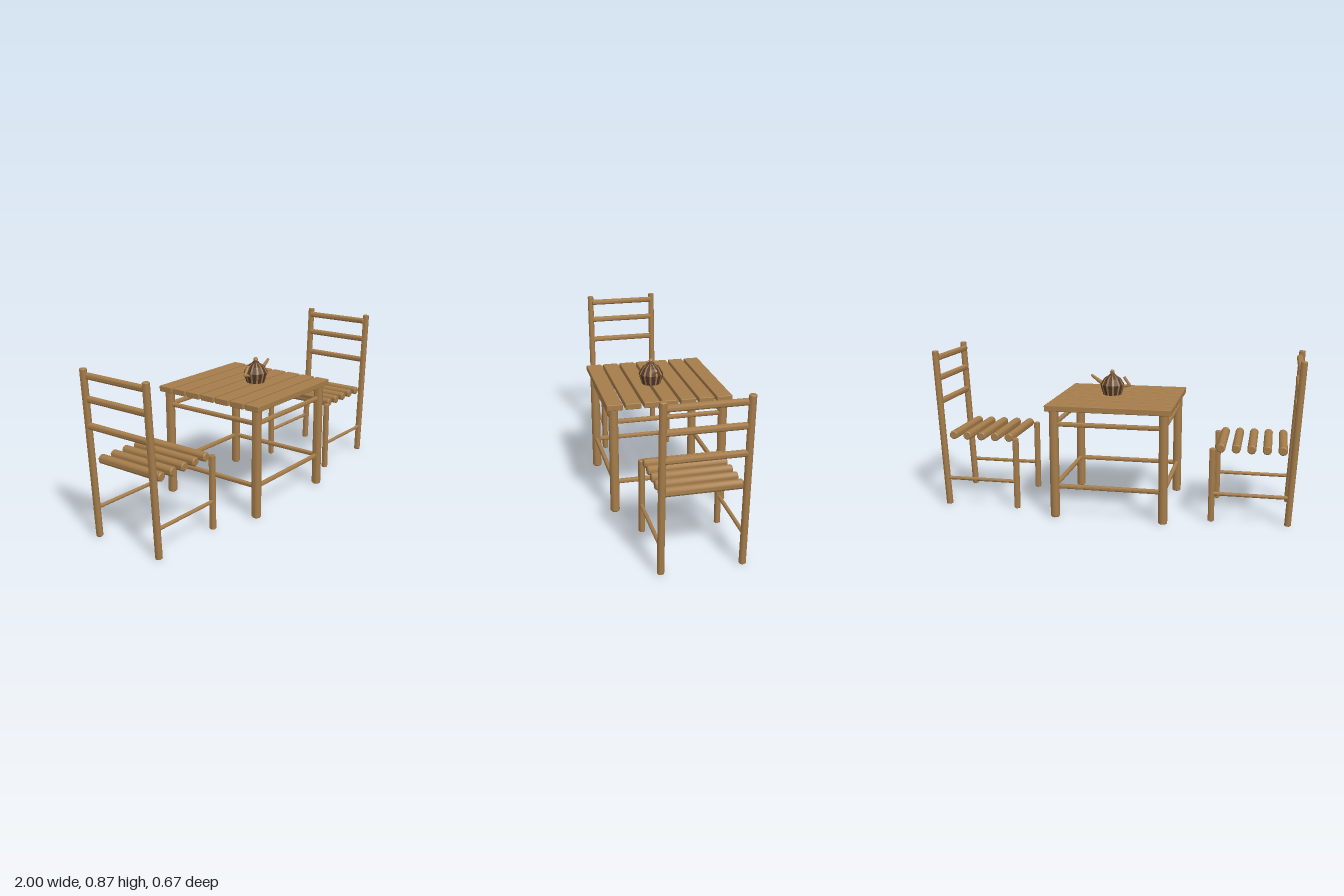
import * as THREE from 'three';
import { toCreasedNormals } from 'three/addons/utils/BufferGeometryUtils.js';
import { RoundedBoxGeometry } from 'three/addons/geometries/RoundedBoxGeometry.js';

const V = (x, y, z) => new THREE.Vector3(x, y, z);

export function createModel() {
  const wood = new THREE.MeshStandardMaterial({ color: 0xa67d4b });
  wood.name = 'wood';
  const darkClay = new THREE.MeshStandardMaterial({ color: 0x53392c });
  darkClay.name = 'darkClay';

  // Round bar with chamfered ends between two points, optionally tapered
  function bar(parent, name, a, b, r, rEnd = r, mat = wood) {
    const len = a.distanceTo(b), c = Math.min(r, rEnd) * 0.2;
    const profile = [
      [0, 0], [r - c, 0], [r, c], [rEnd, len - c], [rEnd - c, len], [0, len],
    ].map(([x, y]) => new THREE.Vector2(x, y));
    const mesh = new THREE.Mesh(toCreasedNormals(new THREE.LatheGeometry(profile, 10), 0.7), mat);
    mesh.position.copy(a);
    mesh.quaternion.setFromUnitVectors(V(0, 1, 0), b.clone().sub(a).normalize());
    mesh.name = name;
    parent.add(mesh);
  }

  function makeTable() {
    const table = new THREE.Group();
    table.name = 'table';
    // Slatted top
    for (let i = -3; i <= 3; i++) {
      const plank = new THREE.Mesh(new RoundedBoxGeometry(0.67, 0.032, 0.083, 1, 0.004), wood);
      plank.position.set(0, 0.604, i * 0.097);
      plank.name = 'tablePlank';
      table.add(plank);
    }
    const p = 0.293;
    for (const s of [-1, 1]) {
      for (const t of [-1, 1]) bar(table, 'tableLeg', V(s * p, 0, t * p), V(s * p, 0.59, t * p), 0.025);
      // Upper and lower stretchers on all four sides
      for (const y of [0.514, 0.173]) {
        bar(table, 'tableRail', V(-p, y, s * p), V(p, y, s * p), 0.013);
        bar(table, 'tableRail', V(s * p, y, -p), V(s * p, y, p), 0.013);
      }
    }
    return table;
  }

  // Chair on the +x side, facing the table
  function makeChair(name) {
    const chair = new THREE.Group();
    chair.name = name;
    for (const s of [-1, 1]) {
      const z = s * 0.2;
      bar(chair, 'backPost', V(0.94, 0, z), V(0.982, 0.87, z), 0.018);
      bar(chair, 'frontLeg', V(0.539, 0, z), V(0.539, 0.4, z), 0.017);
      bar(chair, 'sideRail', V(0.539, 0.154, z * 1.02), V(0.945, 0.154, z * 1.02), 0.01);
    }
    for (let i = 0; i < 5; i++) {
      const x = 0.58 + i * 0.08;
      bar(chair, 'seatSlat', V(x, 0.4, -0.2), V(x, 0.4, 0.2), 0.024);
    }
    for (const y of [0.833, 0.72, 0.588]) {
      bar(chair, 'backRail', V(0.97, y, -0.193), V(0.97, y, 0.193), 0.017);
    }
    return chair;
  }

  function makeTeapot() {
    const pot = new THREE.Group();
    pot.name = 'teapot';
    // Faceted body of wide dark panels and narrow light strips
    const profile = [[0, 0], [0.051, 0], [0.067, 0.056], [0.047, 0.09], [0.02, 0.108], [0, 0.11]]
      .map(([x, y]) => new THREE.Vector2(x, y));
    const step = Math.PI / 6, dark = step * 0.65;
    const panel = (mat, start, length, name) => {
      const g = toCreasedNormals(new THREE.LatheGeometry(profile, 1, start, length), 0.1);
      const m = new THREE.Mesh(g, mat);
      m.name = name;
      pot.add(m);
    };
    for (let i = 0; i < 12; i++) {
      const start = i * step - dark / 2;
      panel(darkClay, start, dark, 'darkPanel');
      panel(wood, start + dark, step - dark, 'lightStrip');
    }
    // Lid with knob
    bar(pot, 'lid', V(0, 0.092, 0), V(0, 0.115, 0), 0.03, 0.018, darkClay);
    bar(pot, 'knobStem', V(0, 0.11, 0), V(0, 0.128, 0), 0.009, 0.013);
    bar(pot, 'knob', V(0, 0.127, 0), V(0, 0.138, 0), 0.013, 0.008);
    // Spout and open bent handle
    bar(pot, 'spout', V(0.045, 0.052, 0), V(0.12, 0.106, 0), 0.013, 0.007);
    bar(pot, 'handleLower', V(-0.045, 0.042, 0), V(-0.101, 0.056, 0), 0.008);
    bar(pot, 'handleUpper', V(-0.1, 0.052, 0), V(-0.066, 0.1, 0), 0.008);
    pot.position.set(0.045, 0.62, 0.037);
    return pot;
  }

  const model = new THREE.Group();
  model.name = 'tableAndChairs';
  const rightChair = makeChair('rightChair');
  rightChair.rotation.y = Math.PI;
  model.add(makeTable(), makeChair('leftChair'), rightChair, makeTeapot());
  return model;
}
